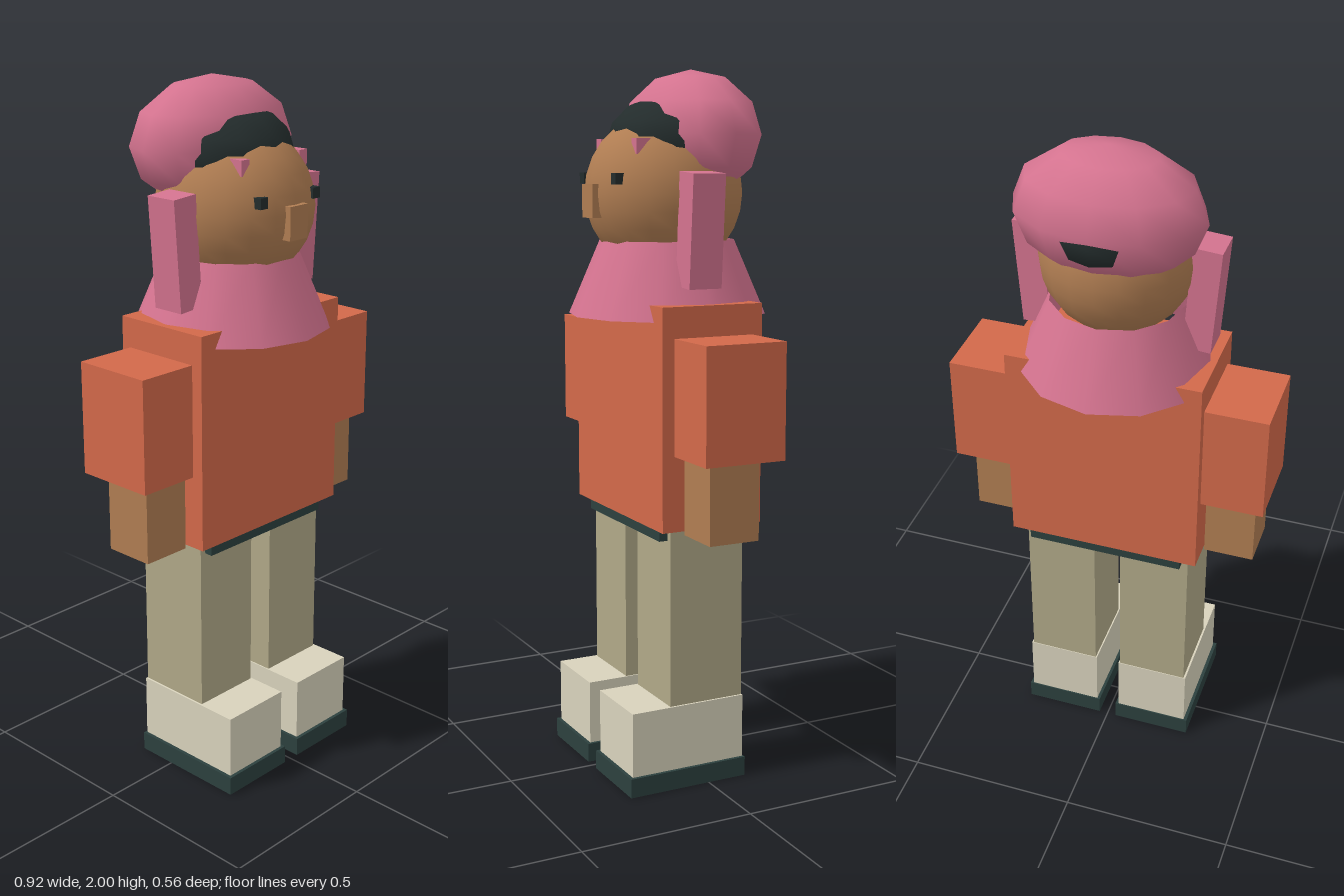
import * as THREE from 'three';

const paint = (color, side = THREE.FrontSide) => new THREE.MeshStandardMaterial({ color, side });

export function createModel() {
  const group = new THREE.Group();
  const pink = paint(0xd4738f), orange = paint(0xd2694a), skin = paint(0xb07d52);
  const khaki = paint(0xb0a888), cream = paint(0xd8d2bc), dark = paint(0x2c403e), black = paint(0x232c2c);

  const add = (name, geometry, material, x, y, z) => {
    const mesh = new THREE.Mesh(geometry, material);
    mesh.name = name;
    mesh.position.set(x, y, z);
    group.add(mesh);
    return mesh;
  };
  // Box given by its limits on each axis
  const box = (name, material, [x0, x1], [y0, y1], [z0, z1]) =>
    add(name, new THREE.BoxGeometry(x1 - x0, y1 - y0, z1 - z0), material,
      (x0 + x1) / 2, (y0 + y1) / 2, (z0 + z1) / 2);
  // Ellipsoid given by centre and radii
  const ball = (name, material, [x, y, z], [rx, ry, rz], w, h) =>
    add(name, new THREE.SphereGeometry(1, w, h).scale(rx, ry, rz), material, x, y, z);

  // Torso and waistband
  box('torso', orange, [-0.28, 0.28], [0.75, 1.365], [-0.15, 0.155]);
  box('waistband', dark, [-0.23, 0.23], [0.715, 0.77], [-0.14, 0.14]);

  // Head, hair and cap
  add('neck', new THREE.CylinderGeometry(0.1, 0.1, 0.2, 12), skin, 0, 1.42, 0);
  ball('head', skin, [0, 1.66, 0.01], [0.217, 0.225, 0.225], 20, 14);
  ball('hair', black, [0, 1.8, -0.045], [0.203, 0.14, 0.212], 12, 8);
  ball('cap', pink, [0, 1.82, -0.075], [0.262, 0.18, 0.18], 12, 6);
  box('nose', skin, [-0.035, 0.035], [1.593, 1.685], [0.2, 0.245]);

  // Flared open scarf
  add('scarf', new THREE.CylinderGeometry(0.19, 0.28, 0.21, 12, 1, true),
    paint(0xd4738f, THREE.DoubleSide), 0, 1.425, 0);

  // Paired parts
  for (const s of [1, -1]) {
    const span = (a, b) => (s > 0 ? [a, b] : [-b, -a]);
    const side = s > 0 ? 'left' : 'right';
    box(side + 'Eye', black, span(0.09, 0.118), [1.685, 1.715], [0.17, 0.215]);
    box(side + 'Brow', pink, span(0.099, 0.129), [1.765, 1.808], [0.115, 0.157]);
    const flap = box(side + 'EarFlap', pink, span(0.198, 0.278), [1.41, 1.718], [-0.03, 0.068]);
    flap.rotation.z = -0.07 * s;
    box(side + 'Sleeve', orange, span(0.28, 0.46), [0.96, 1.28], [-0.12, 0.12]);
    box(side + 'Hand', skin, span(0.282, 0.427), [0.74, 0.98], [-0.06, 0.09]);
    box(side + 'Leg', khaki, span(0.04, 0.248), [0.2, 0.76], [-0.112, 0.115]);
    box(side + 'Shoe', cream, span(0.036, 0.254), [0.05, 0.24], [-0.114, 0.235]);
    box(side + 'Sole', dark, span(0.027, 0.264), [0, 0.055], [-0.118, 0.245]);
  }
  return group;
}
